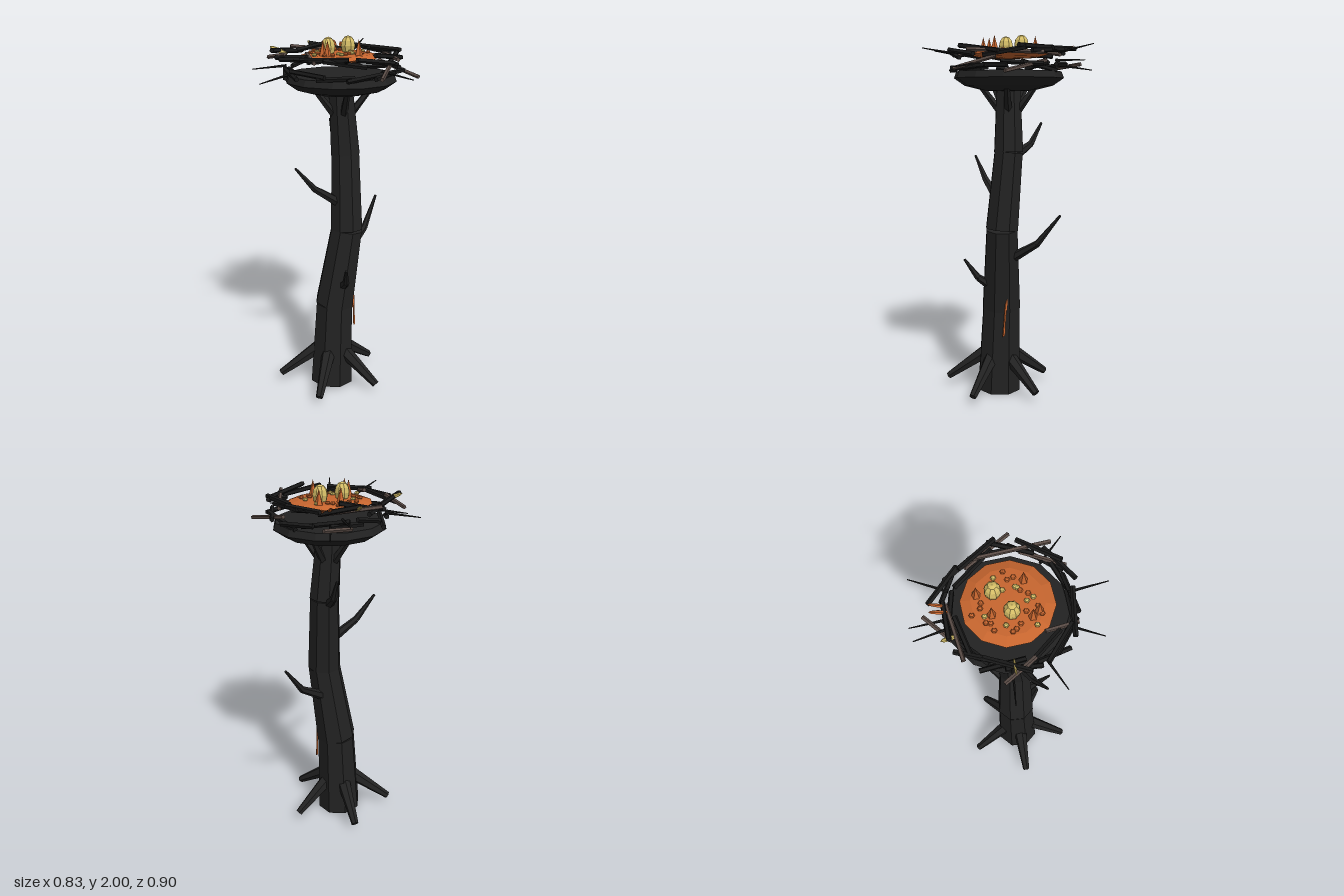
import * as THREE from 'three';

const mat = (name, color) => {
  const m = new THREE.MeshStandardMaterial({ color, flatShading: true });
  m.name = name;
  return m;
};

export function createModel() {
  const bark = mat('charred bark', 0x222222);
  const twig = mat('black twig', 0x191919);
  const brown = mat('brown twig', 0x5a4c46);
  const orange = mat('ember orange', 0xc8662f);
  const yellow = mat('pale gold', 0xd6bf68);
  const V = (p) => new THREE.Vector3(...p);
  const UP = new THREE.Vector3(0, 1, 0);
  let seed = 7;
  const rand = (lo, hi) => {
    seed = (seed * 16807) % 2147483647;
    return lo + (hi - lo) * (seed / 2147483647);
  };

  const model = new THREE.Group();
  model.name = 'nestOnDeadTree';
  const group = (name) => {
    const g = new THREE.Group();
    g.name = name;
    model.add(g);
    return g;
  };
  const add = (parent, name, geo, material) => {
    const m = new THREE.Mesh(geo, material);
    m.name = name;
    parent.add(m);
    return m;
  };
  // Tapered rod from a to b
  const rod = (parent, name, a, b, ra, rb, sides, material) => {
    const p = V(a), d = V(b).sub(p);
    const m = add(parent, name, new THREE.CylinderGeometry(rb, ra, d.length(), sides), material);
    m.position.copy(p).addScaledVector(d, 0.5);
    m.quaternion.setFromUnitVectors(UP, d.normalize());
  };
  // Point at angle t (radians) and radius r around a centre
  const polar = (cx, cz, r, t, y) => [cx + r * Math.cos(t), y, cz + r * Math.sin(t)];

  // Trunk: stacked tapered sections
  const trunk = group('trunk');
  const spine = [[-0.02, 0.005, 0.04], [0, 0.5, 0.033], [0.063, 0.955, 0.058],
    [0.068, 1.38, 0.02], [0.045, 1.73, 0.01]];
  const radii = [0.128, 0.113, 0.094, 0.084, 0.07];
  for (let i = 0; i < 4; i++) {
    rod(trunk, 'trunkSection', spine[i], spine[i + 1], radii[i], radii[i + 1] * 0.97, 8, bark);
  }

  // Roots: five splayed spurs
  const roots = group('roots');
  for (let i = 0; i < 5; i++) {
    const t = (125 + 72 * i) * Math.PI / 180;
    rod(roots, 'root', polar(-0.02, 0.04, 0.07, t, 0.22), polar(-0.02, 0.04, 0.3, t, 0.05),
      0.042, 0.021, 6, bark);
  }

  // Bare branches, each with one bend
  const branches = group('branches');
  [
    [[0.02, 1.11, 0.06], [-0.13, 1.21, 0.07], [-0.243, 1.34, 0.085]],
    [[0.1, 0.8, 0], [0.23, 0.89, -0.075], [0.338, 1.055, -0.155]],
    [[0.06, 1.36, -0.03], [0.06, 1.42, -0.12], [0.06, 1.535, -0.185]],
    [[0.02, 0.63, 0.11], [0.01, 0.68, 0.18], [-0.018, 0.785, 0.25]],
  ].forEach(([a, b, c]) => {
    rod(branches, 'branchBase', a, b, 0.028, 0.019, 6, bark);
    rod(branches, 'branchTip', b, c, 0.019, 0.007, 6, bark);
  });

  // Struts carrying the nest
  for (let i = 0; i < 5; i++) {
    const t = 0.5 + i * Math.PI * 0.4;
    rod(branches, 'strut', polar(0.05, 0.01, 0.05, t, 1.6), polar(0.045, 0.01, 0.16, t, 1.74),
      0.022, 0.015, 5, bark);
  }

  // Glowing crack on the trunk
  const crackShape = new THREE.Shape([[-0.075, 0.35], [-0.062, 0.36], [-0.058, 0.45],
    [-0.046, 0.56], [-0.047, 0.58], [-0.06, 0.53], [-0.068, 0.43]]
    .map((p) => new THREE.Vector2(...p)));
  const crack = add(trunk, 'emberCrack',
    new THREE.ExtrudeGeometry(crackShape, { depth: 0.008, bevelEnabled: false }), orange);
  crack.rotation.y = Math.PI / 2;
  crack.position.x = 0.106;

  // Nest bowl and ember bed
  const nest = group('nest');
  const lathe = (name, profile, x, z, material) => {
    const points = profile.map((p) => new THREE.Vector2(...p));
    add(nest, name, new THREE.LatheGeometry(points, 12), material).position.set(x, 0, z);
  };
  lathe('bowl', [[0, 1.705], [0.13, 1.708], [0.24, 1.735], [0.298, 1.775], [0.285, 1.81],
    [0, 1.815]], 0.042, 0.008, bark);
  lathe('emberBed', [[0, 1.88], [0.16, 1.885], [0.218, 1.9], [0.17, 1.915], [0, 1.918]],
    0.038, 0.006, orange);

  // Woven black twigs: skewed tangents in a lower and an upper layer
  for (let i = 0; i < 28; i++) {
    const t = i * 2 * Math.PI / 28 + rand(-0.08, 0.08);
    const y = (i % 2 ? 1.835 : 1.912) + rand(-0.02, 0.02);
    const mid = polar(0.035, 0.01, rand(0.265, 0.31), t, y);
    const along = t + Math.PI / 2 + rand(-0.35, 0.35), half = rand(0.08, 0.125), tilt = rand(-0.02, 0.02);
    rod(nest, 'twig', polar(mid[0], mid[2], -half, along, y - tilt),
      polar(mid[0], mid[2], half, along, y + tilt), 0.013, 0.013, 5, twig);
  }

  // Brown twigs laid over the weave
  [
    [[-0.13, 1.93, -0.3], [0.16, 1.9, -0.245]], [[0.02, 1.83, -0.29], [0.18, 1.85, -0.358]],
    [[0.305, 1.86, -0.08], [0.405, 1.8, 0.2]], [[0.32, 1.9, -0.06], [0.22, 1.91, 0.325]],
    [[-0.172, 1.93, 0.08], [-0.19, 1.9, 0.24]], [[0.12, 1.82, 0.357], [0.255, 1.88, 0.18]],
    [[-0.292, 1.89, -0.185], [-0.255, 1.92, -0.01]],
  ].forEach(([a, b]) => rod(nest, 'brownTwig', a, b, 0.011, 0.011, 5, brown));

  // Thin thorns pointing outward from the rim, given by their tips
  [
    [-0.386, 1.83, -0.18], [-0.42, 1.79, 0.07], [-0.317, 1.93, 0.3], [-0.091, 1.93, 0.45],
    [0.265, 1.82, 0.41], [0.33, 1.95, -0.348], [0.172, 1.82, -0.435], [0.077, 1.88, -0.45],
  ].forEach(([x, y, z]) => rod(nest, 'thorn',
    [0.035 + (x - 0.035) * 0.6, 1.87 + (y - 1.87) * 0.5, z * 0.6], [x, y, z], 0.008, 0.0025, 5, twig));

  // Feathers: flat leaf-shaped blades stuck in the rim
  const feather = (a, b, material) => {
    const p = V(a), d = V(b).sub(p);
    const m = add(nest, 'feather', new THREE.SphereGeometry(0.5, 6, 4), material);
    m.position.copy(p).addScaledVector(d, 0.5);
    m.scale.set(0.026, d.length(), 0.012);
    m.quaternion.setFromUnitVectors(UP, d.normalize());
  };
  feather([-0.002, 1.91, -0.265], [-0.01, 1.95, -0.35], yellow);
  feather([-0.213, 1.91, -0.098], [-0.3, 1.95, -0.133], yellow);
  feather([0.118, 1.91, -0.25], [0.14, 1.95, -0.337], orange);
  feather([0.15, 1.91, -0.25], [0.182, 1.94, -0.322], orange);

  // Eggs
  [[-0.022, -0.006], [0.104, -0.038]].forEach(([x, z]) => {
    const egg = add(nest, 'egg', new THREE.SphereGeometry(0.04, 8, 6), yellow);
    egg.position.set(x, 1.948, z);
    egg.scale.y = 1.3;
  });

  // Flame spikes
  [[0.012, -0.09], [0.13, -0.107], [-0.08, 0.068], [-0.07, 0.107], [0.098, 0.116]].forEach(([x, z]) => {
    add(nest, 'flameSpike', new THREE.ConeGeometry(0.023, 0.085, 5), orange).position.set(x, 1.952, z);
  });

  // Pebbles scattered on the bed, every third one gold
  for (let i = 0; i < 30; i++) {
    const pebble = add(nest, 'pebble', new THREE.SphereGeometry(0.014, 6, 4), i % 3 ? orange : yellow);
    pebble.position.set(...polar(0.035, 0, rand(0.06, 0.18), i * 2.4, 1.921));
    pebble.scale.y = 0.7;
  }

  return model;
}
